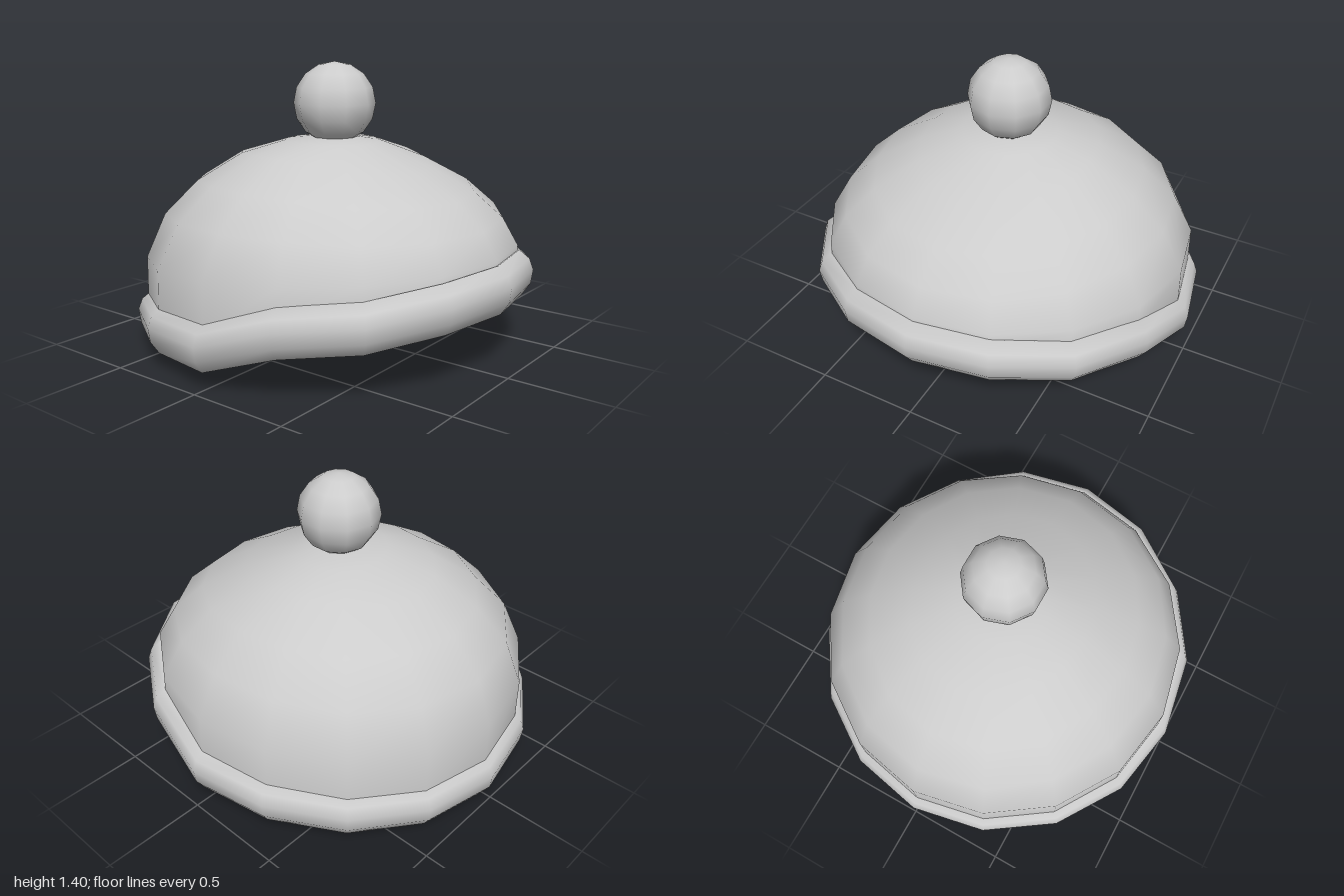
import * as THREE from 'three';

const SIDES = 16;

// Height of the wavy brim's lower edge, from the raised side (+x) to the low side (-x)
const BRIM_LIFT = [0.295, 0.285, 0.24, 0.21, 0.085, 0.068, 0.04, 0.012, 0];
const liftAt = (j) => BRIM_LIFT[j <= 8 ? j : SIDES - j];

// Smooth blend of three values: low side (-x), middle (z axis), raised side (+x)
function blend([low, mid, high], c) {
  return mid + ((high - low) / 2) * c + ((high + low) / 2 - mid) * c * c;
}

// Skin a stack of closed rings; point(i, j, c) returns [radius, height]
function loft(ringCount, point, closed) {
  const positions = [];
  const index = [];
  for (let i = 0; i < ringCount; i++) {
    for (let j = 0; j < SIDES; j++) {
      const angle = (j / SIDES) * Math.PI * 2;
      const [r, y] = point(i, j, Math.cos(angle));
      positions.push(r * Math.cos(angle), y, r * Math.sin(angle));
    }
  }
  const last = closed ? ringCount : ringCount - 1;
  for (let i = 0; i < last; i++) {
    const up = (i + 1) % ringCount;
    for (let j = 0; j < SIDES; j++) {
      const k = (j + 1) % SIDES;
      const a = i * SIDES + j, b = i * SIDES + k;
      const c = up * SIDES + j, d = up * SIDES + k;
      index.push(a, c, b, b, c, d);
    }
  }
  const geometry = new THREE.BufferGeometry();
  geometry.setAttribute('position', new THREE.Float32BufferAttribute(positions, 3));
  geometry.setIndex(index);
  geometry.computeVertexNormals();
  return geometry;
}

export function createModel() {
  const hat = new THREE.Group();
  hat.name = 'hat';
  const wool = new THREE.MeshStandardMaterial({ color: 0xcccccc, side: THREE.DoubleSide });
  wool.name = 'light grey wool';

  const add = (name, geometry) => {
    const mesh = new THREE.Mesh(geometry, wool);
    mesh.name = name;
    hat.add(mesh);
    return mesh;
  };

  // Crown: thin dome, its lower edge tucked into the brim
  const crown = [
    { r: [0.95, 0.94, 0.92], y: null },
    { r: [0.95, 0.935, 0.92], y: [0.42, 0.49, 0.535] },
    { r: [0.87, 0.825, 0.85], y: [0.64, 0.685, 0.66] },
    { r: [0.71, 0.66, 0.71], y: [0.81, 0.835, 0.78] },
    { r: [0.5, 0.43, 0.5], y: [0.94, 0.965, 0.89] },
    { r: [0.24, 0.24, 0.22], y: [1.02, 1.02, 1.01] },
    { r: [0.1, 0.1, 0.1], y: [1.035, 1.035, 1.035] },
    { r: [0.005, 0.005, 0.005], y: [1.035, 1.035, 1.035] },
  ];
  add('crown', loft(crown.length, (i, j, c) => [
    blend(crown[i].r, c),
    crown[i].y ? blend(crown[i].y, c) : liftAt(j) + 0.17,
  ], false));

  // Brim: rounded closed roll that rises on one side
  const roll = [
    [0.95, 0], [0.99, 0.06], [1, 0.13], [0.98, 0.185], [0.93, 0.225],
    [0.86, 0.195], [0.83, 0.1], [0.845, 0.005],
  ];
  add('brim', loft(roll.length, (i, j) => [roll[i][0], roll[i][1] + liftAt(j)], true));

  // Pompom on top
  add('pompom', new THREE.SphereGeometry(0.205, 10, 8)).position.y = 1.2;

  return hat;
}
